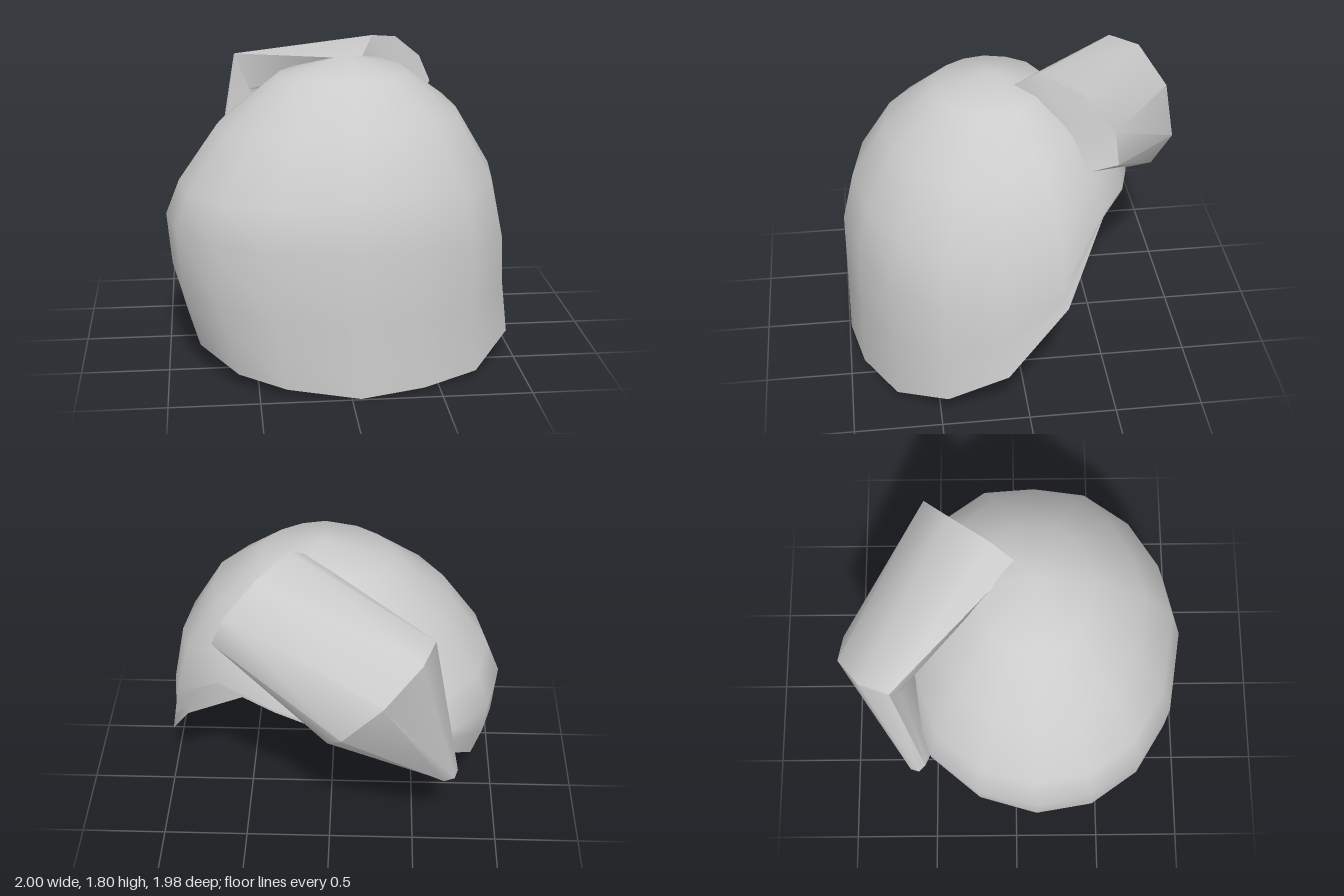
import * as THREE from 'three';
import { mergeVertices, toCreasedNormals } from 'three/addons/utils/BufferGeometryUtils.js';

const material = new THREE.MeshStandardMaterial({ color: 0xcccccc, side: THREE.DoubleSide });

// Skin a list of closed rings of [x, y, z] points, top ring first
function loft(rings) {
  const n = rings[0].length;
  const index = [];
  for (let r = 0; r < rings.length - 1; r++) {
    for (let c = 0; c < n; c++) {
      const a = r * n + c, b = r * n + (c + 1) % n;
      index.push(a, a + n, b + n, a, b + n, b);
    }
  }
  const geometry = new THREE.BufferGeometry();
  geometry.setAttribute('position', new THREE.Float32BufferAttribute(rings.flat(2), 3));
  geometry.setIndex(index);
  return mergeVertices(geometry);
}

// A ring shrunk to its centre, used to close an end
function centreRing(ring) {
  const mid = [0, 1, 2].map(k => ring.reduce((sum, p) => sum + p[k], 0) / ring.length);
  return ring.map(() => mid);
}

// Open domed shell: apex -> widest line -> slanted rim
function createShell() {
  const apex = [0.05, 1.73, 0.1];
  // per column: widest x, y, z, then rim x, y, z
  const columns = [
    [0.05, 0.82, 0.985, 0.05, 0, 0.99],
    [0.4, 0.8, 0.91, 0.41, 0.02, 0.92],
    [0.71, 0.75, 0.73, 0.73, 0.03, 0.74],
    [0.92, 0.72, 0.45, 0.96, 0.15, 0.46],
    [0.96, 0.72, 0.12, 1, 0.31, 0.12],
    [0.9, 0.85, -0.2, 0.92, 0.7, -0.22],
    [0.63, 1.12, -0.45, 0.63, 1.1, -0.45],
    [0.3, 1.07, -0.62, 0.3, 1.05, -0.62],
    [0, 1, -0.7, 0, 0.98, -0.7],
    [-0.4, 0.9, -0.61, -0.38, 0.85, -0.61],
    [-0.7, 0.85, -0.5, -0.66, 0.68, -0.5],
    [-0.92, 0.82, -0.22, -0.84, 0.43, -0.2],
    [-1, 0.82, 0.12, -0.89, 0.21, 0.12],
    [-0.94, 0.82, 0.44, -0.82, 0.14, 0.48],
    [-0.74, 0.82, 0.72, -0.61, 0.07, 0.76],
    [-0.43, 0.82, 0.91, -0.35, 0.04, 0.92]
  ];
  const rings = [];
  // Dome: a quarter ellipse, flatter on the right and at the back
  const steps = 4;
  for (let i = 0; i <= steps; i++) {
    const t = (i / steps) * Math.PI / 2;
    const out = Math.sin(t), up = Math.max(0, Math.cos(t));
    rings.push(columns.map(([x, y, z]) => {
      const flat = 1.05 + 0.5 * Math.max(0, -x) + 0.15 * Math.max(0, z) + 0.35 * Math.max(0, -z);
      return [
        apex[0] + (x - apex[0]) * out,
        y + (apex[1] - y) * Math.pow(up, flat),
        apex[2] + (z - apex[2]) * out
      ];
    }));
  }
  // Skirt: curves from the widest line to the rim
  for (const k of [0.5, 1]) {
    rings.push(columns.map(([x, y, z, rx, ry, rz]) => [
      x + (rx - x) * k * k, y + (ry - y) * k, z + (rz - z) * k * k
    ]));
  }
  const geometry = loft(rings);
  geometry.computeVertexNormals();
  const mesh = new THREE.Mesh(geometry, material);
  mesh.name = 'shell';
  return mesh;
}

// Bent tail: thick end on the crown, elbow at the back, narrow tip
function createTail() {
  const tip = [
    [-0.74, 0.62, -0.58], [-0.72, 0.6, -0.63], [-0.66, 0.585, -0.64], [-0.6, 0.58, -0.6],
    [-0.58, 0.6, -0.54], [-0.6, 0.64, -0.51], [-0.65, 0.67, -0.51], [-0.71, 0.65, -0.54]
  ];
  const elbow = [
    [-0.57, 1.6, -0.68], [-0.5, 1.56, -0.85], [-0.3, 1.38, -0.99], [-0.08, 1.16, -0.99],
    [0, 1.03, -0.85], [-0.1, 1.04, -0.68], [-0.3, 1.12, -0.58], [-0.48, 1.38, -0.64]
  ];
  const end = [
    [0.15, 1.69, 0.01], [0.23, 1.8, -0.14], [0.4, 1.75, -0.36], [0.57, 1.6, -0.51],
    [0.64, 1.44, -0.52], [0.58, 1.37, -0.38], [0.5, 1.4, -0.29], [0.28, 1.52, -0.15]
  ];
  const geometry = loft([centreRing(tip), tip, elbow, end, centreRing(end)]);
  const mesh = new THREE.Mesh(toCreasedNormals(geometry, 0.95), material);
  mesh.name = 'tail';
  return mesh;
}

export function createModel() {
  const group = new THREE.Group();
  group.name = 'hood';
  group.add(createShell(), createTail());
  return group;
}
